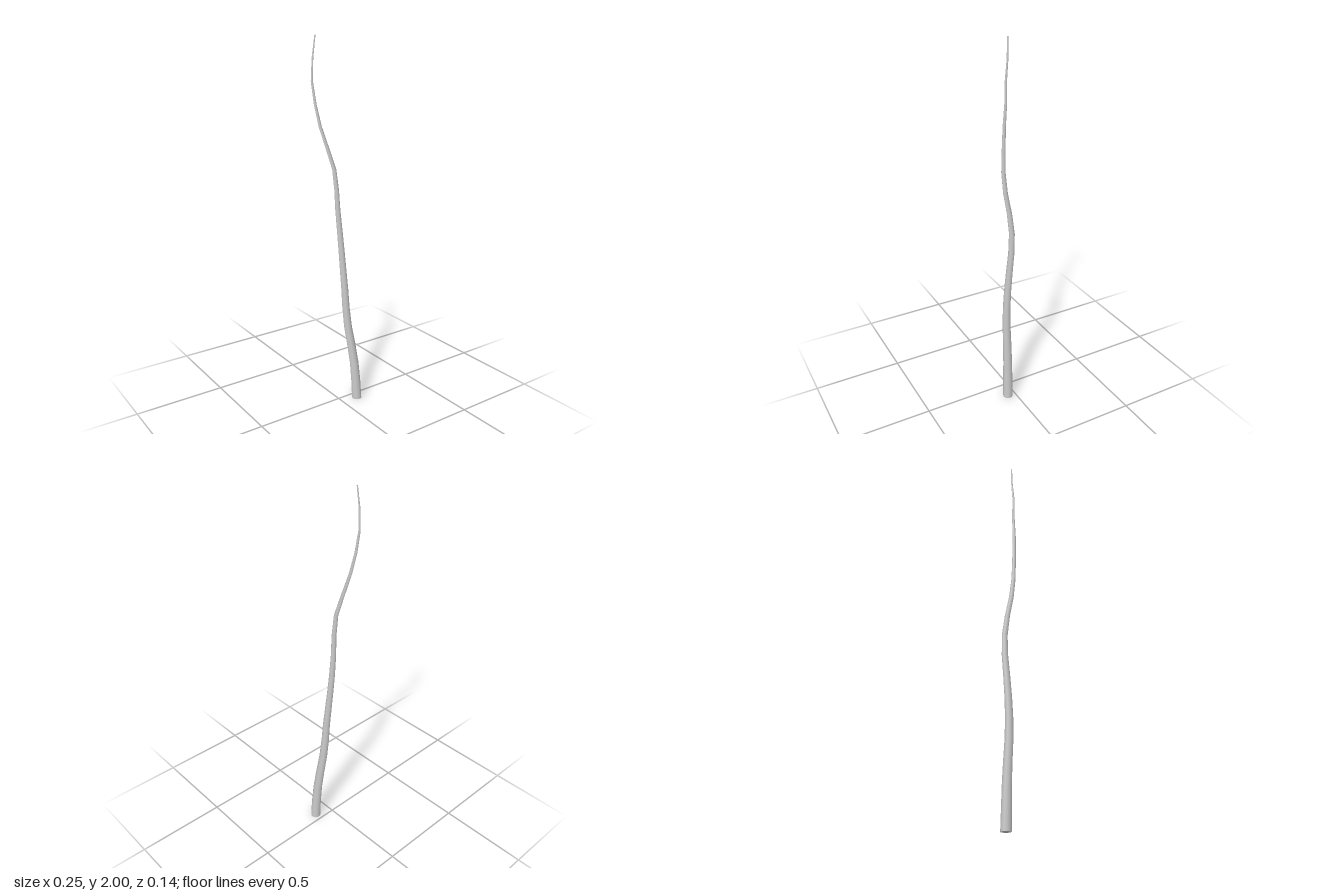
import * as THREE from 'three';

// Centre line of the stem at equal height steps: [x, z]
const CENTRE = [
  [0.095, 0.044], [0.089, 0.042], [0.08, 0.038], [0.064, 0.032], [0.045, 0.026],
  [0.035, 0.02], [0.032, 0.012], [0.029, 0], [0.027, -0.013], [0.02, -0.02],
  [0.004, -0.014], [-0.013, 0], [-0.03, 0.003], [-0.06, -0.015], [-0.09, -0.035],
  [-0.107, -0.053], [-0.12, -0.061], [-0.112, -0.066], [-0.1, -0.06],
];
const HEIGHT = 2, BASE_RADIUS = 0.028, TIP_RADIUS = 0.003, SIDES = 10;

export function createModel() {
  const group = new THREE.Group();
  group.name = 'branch';

  // Tapered capped cylinder, each ring shifted onto the centre line
  const steps = CENTRE.length - 1;
  const geometry = new THREE.CylinderGeometry(TIP_RADIUS, BASE_RADIUS, HEIGHT, SIDES, steps);
  geometry.translate(0, HEIGHT / 2, 0);
  const position = geometry.attributes.position;
  for (let i = 0; i < position.count; i++) {
    const ring = Math.round((position.getY(i) / HEIGHT) * steps);
    const [x, z] = CENTRE[ring];
    position.setX(i, position.getX(i) + x);
    position.setZ(i, position.getZ(i) + z);
  }

  const stem = new THREE.Mesh(geometry, new THREE.MeshStandardMaterial({ color: 0xcccccc }));
  stem.name = 'stem';
  group.add(stem);
  return group;
}
